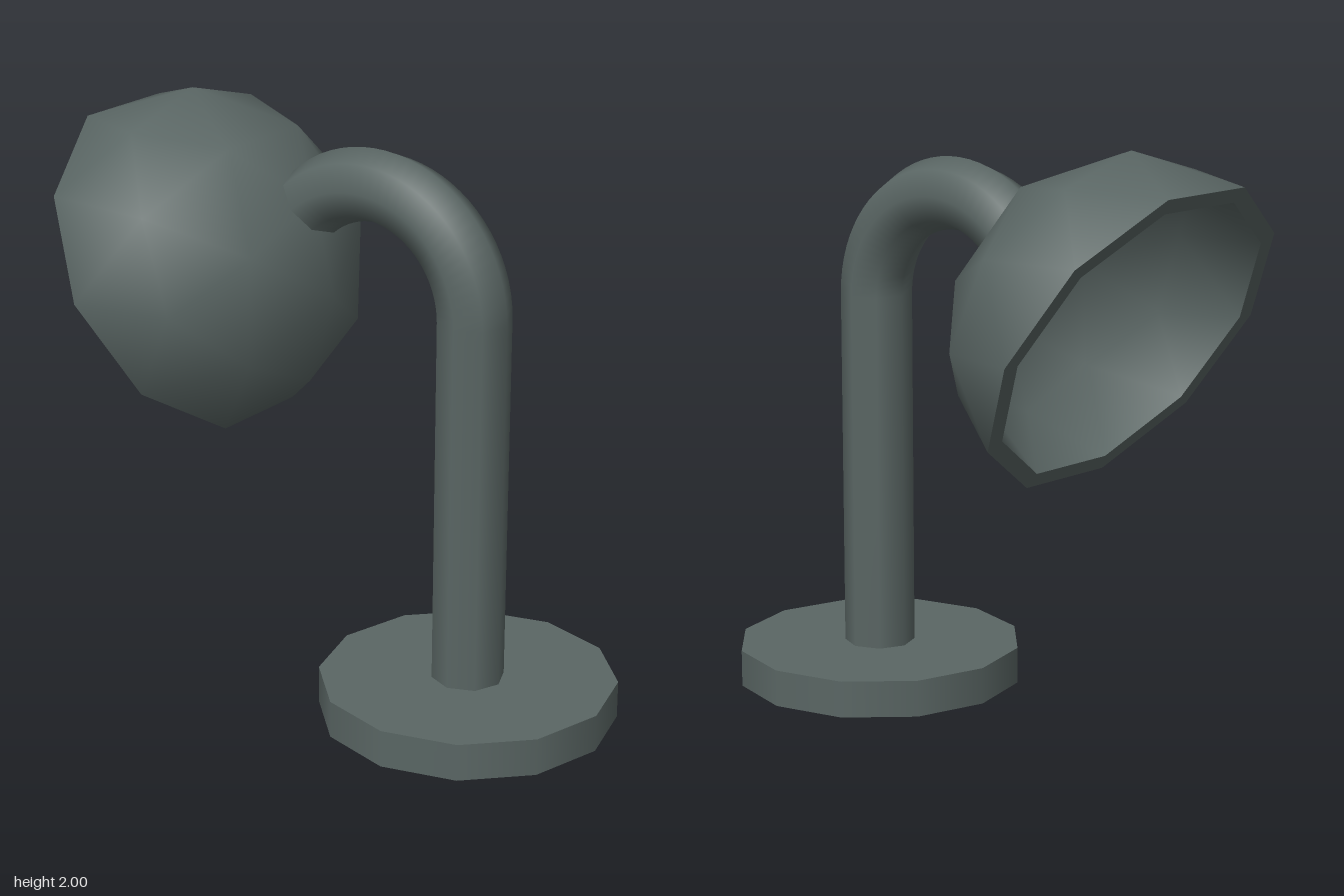
import * as THREE from 'three';

const POST_TOP = 1.4, POST_START = 0.1, BEND = 0.39, SWEEP = THREE.MathUtils.degToRad(132);

// Upright post that bends over into an arc, in the local yz plane
class ArmPath extends THREE.Curve {
  getPoint(t, target = new THREE.Vector3()) {
    const straight = POST_TOP - POST_START;
    const d = t * (straight + BEND * SWEEP);
    if (d <= straight) return target.set(0, POST_START + d, 0);
    const a = (d - straight) / BEND;
    return target.set(0, POST_TOP + BEND * Math.sin(a), BEND * (1 - Math.cos(a)));
  }
}

// Upper half of a once-divided icosahedron, one corner pointing up
function halfSphere(radius, inward) {
  const full = new THREE.IcosahedronGeometry(radius, 1);
  full.rotateX(-Math.atan((1 + Math.sqrt(5)) / 2)).rotateY(Math.PI);
  const p = full.attributes.position, n = full.attributes.normal;
  const pos = [], nor = [], sign = inward ? -1 : 1;
  for (let i = 0; i < p.count; i += 3) {
    if (p.getY(i) + p.getY(i + 1) + p.getY(i + 2) < 0) continue;
    for (const k of inward ? [0, 2, 1] : [0, 1, 2]) {
      pos.push(p.getX(i + k), p.getY(i + k), p.getZ(i + k));
      nor.push(sign * n.getX(i + k), sign * n.getY(i + k), sign * n.getZ(i + k));
    }
  }
  const g = new THREE.BufferGeometry();
  g.setAttribute('position', new THREE.Float32BufferAttribute(pos, 3));
  g.setAttribute('normal', new THREE.Float32BufferAttribute(nor, 3));
  return g;
}

export function createModel() {
  const model = new THREE.Group();
  model.name = 'lamp';
  const metal = new THREE.MeshStandardMaterial({ color: 0x5a6664 });
  const add = (parent, name, geometry) => {
    const mesh = new THREE.Mesh(geometry, metal);
    mesh.name = name;
    parent.add(mesh);
    return mesh;
  };

  // Twelve-sided base disc
  const base = add(model, 'base', new THREE.CylinderGeometry(0.51, 0.51, 0.13, 12, 1, false, Math.PI / 12));
  base.position.set(0.41, 0.065, 0.41);

  // Post and head share a plane that runs diagonally across the model
  const stand = new THREE.Group();
  stand.name = 'stand';
  stand.position.set(0.41, 0, 0.41);
  stand.rotation.y = -Math.PI * 0.75;
  model.add(stand);

  // Octagonal bent arm
  add(stand, 'arm', new THREE.TubeGeometry(new ArmPath(), 64, 0.125, 8));

  // Hollow shade, tipped downwards
  const shade = new THREE.Group();
  shade.name = 'shade';
  shade.position.set(0, 1.388, 1.181);
  shade.rotation.x = -Math.PI / 3;
  stand.add(shade);
  const outer = 0.615, inner = 0.555;
  add(shade, 'shadeOuter', halfSphere(outer, false));
  add(shade, 'shadeInner', halfSphere(inner, true));
  add(shade, 'shadeRim', new THREE.RingGeometry(inner, outer, 10, 1).rotateX(Math.PI / 2));

  return model;
}
